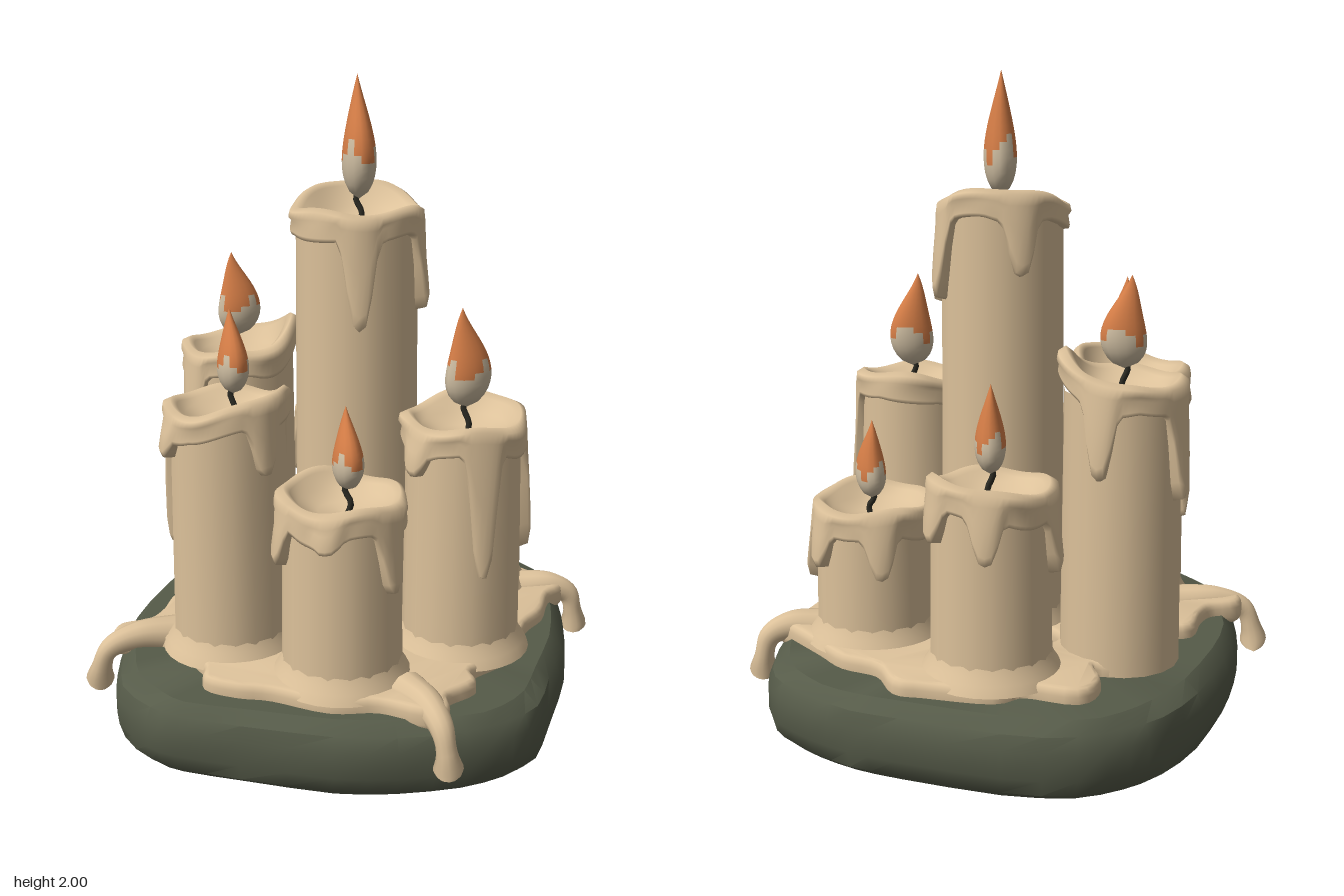
import * as THREE from 'three';
import { toCreasedNormals } from 'three/addons/utils/BufferGeometryUtils.js';

const mat = (name, color, side = THREE.FrontSide) =>
  Object.assign(new THREE.MeshStandardMaterial({ color, side }), { name });

// Closed loops stacked from bottom to top; pick() chooses a material per face
function loops(rows, cols, point, pick = () => 0) {
  const pos = [], faces = [[], []];
  for (let i = 0; i <= rows; i++)
    for (let j = 0; j < cols; j++) pos.push(...point(i, (j / cols) * Math.PI * 2, j));
  for (let i = 0; i < rows; i++)
    for (let j = 0; j < cols; j++) {
      const k = (j + 1) % cols, a = i * cols + j, b = i * cols + k;
      faces[pick(i, j)].push(a, b, b + cols, a, b + cols, a + cols);
    }
  const g = new THREE.BufferGeometry();
  g.setAttribute('position', new THREE.Float32BufferAttribute(pos, 3));
  g.setIndex([...faces[0], ...faces[1]]);
  if (faces[1].length) {
    g.addGroup(0, faces[0].length, 0);
    g.addGroup(faces[0].length, faces[1].length, 1);
  }
  g.computeVertexNormals();
  return g;
}

// Tube whose radius follows radius(t)
function taperedTube(points, segments, sides, radius) {
  const curve = new THREE.CatmullRomCurve3(points.map(p => new THREE.Vector3(...p)));
  const g = new THREE.TubeGeometry(curve, segments, 1, sides);
  const p = g.attributes.position, v = new THREE.Vector3();
  for (let i = 0; i < p.count; i++) {
    const t = Math.floor(i / (sides + 1)) / segments, c = curve.getPointAt(t);
    v.fromBufferAttribute(p, i).sub(c).multiplyScalar(radius(t)).add(c);
    p.setXYZ(i, v.x, v.y, v.z);
  }
  return g;
}

const smoothOutline = (pts, n, tension) =>
  new THREE.CatmullRomCurve3(pts.map(([x, z]) => new THREE.Vector3(x, 0, z)), true, 'catmullrom', tension)
    .getPoints(n).slice(0, n);

// Position, wall radius, rim height, raised side [deg, rise], flame [x, z, bottom, top, turn], drips [deg, length]
const CANDLES = [
  { name: 'centreCandle', x: 0, z: -0.04, R: 0.192, h: 1.61, peak: [-143, 0.05], flame: [0, -0.05, 1.62, 2, -0.75],
    drips: [[35, 0.36], [112, 0.33], [152, 0.31], [-125, 0.26]] },
  { name: 'leftSideCandle', x: -0.455, z: -0.03, R: 0.178, h: 1.11, peak: [130, 0.08], flame: [-0.455, -0.02, 1.13, 1.41, 0.75],
    drips: [[-18, 0.34], [-82, 0.36], [-165, 0.3]] },
  { name: 'rightSideCandle', x: 0.415, z: 0, R: 0.178, h: 1.01, peak: [-170, 0.03], flame: [0.42, 0, 1.03, 1.34, 0.9],
    drips: [[48, 0.48], [128, 0.46], [-20, 0.16]] },
  { name: 'frontTallCandle', x: -0.19, z: 0.39, R: 0.178, h: 1.05, peak: [90, 0.06], flame: [-0.16, 0.4, 1.08, 1.34, -0.6],
    drips: [[72, 0.24], [-80, 0.5], [-35, 0.16], [165, 0.3]] },
  { name: 'frontShortCandle', x: 0.225, z: 0.39, R: 0.178, h: 0.84, peak: [-100, 0.02], flame: [0.245, 0.39, 0.85, 1.1, -0.7],
    drips: [[-38, 0.22], [82, 0.27], [20, 0.12], [180, 0.2]] },
  { name: 'backTallCandle', x: -0.26, z: -0.41, R: 0.178, h: 0.83, peak: [170, 0.04], flame: [-0.25, -0.4, 0.85, 1.12, -0.8],
    drips: [[-145, 0.22], [-65, 0.26], [160, 0.2]] },
  { name: 'backShortCandle', x: 0.215, z: -0.41, R: 0.178, h: 0.7, peak: [60, 0.02], flame: [0.215, -0.42, 0.7, 0.95, -0.5],
    drips: [[122, 0.27], [165, 0.2], [70, 0.14], [-130, 0.22]] },
];

const BASE = [[0.1, -0.82], [0.25, -0.8], [0.36, -0.74], [0.47, -0.62], [0.56, -0.47], [0.67, -0.25], [0.74, -0.02],
  [0.785, 0.16], [0.76, 0.29], [0.68, 0.42], [0.53, 0.56], [0.37, 0.66], [0.1, 0.75], [-0.1, 0.81], [-0.2, 0.81],
  [-0.36, 0.75], [-0.47, 0.63], [-0.6, 0.44], [-0.7, 0.22], [-0.78, -0.06], [-0.79, -0.27], [-0.76, -0.4],
  [-0.68, -0.54], [-0.5, -0.66], [-0.2, -0.77], [-0.05, -0.81]].reverse();

const POOL = [[-0.2, -0.64], [-0.12, -0.67], [0, -0.61], [0.13, -0.63], [0.25, -0.6], [0.42, -0.56], [0.5, -0.54],
  [0.49, -0.45], [0.53, -0.32], [0.53, -0.2], [0.58, 0], [0.54, 0.18], [0.59, 0.25], [0.56, 0.36], [0.6, 0.43],
  [0.55, 0.47], [0.42, 0.49], [0.3, 0.57], [0.12, 0.6], [0.02, 0.64], [-0.08, 0.65], [-0.14, 0.58], [-0.34, 0.5],
  [-0.42, 0.51], [-0.5, 0.57], [-0.53, 0.52], [-0.48, 0.44], [-0.49, 0.35], [-0.53, 0.24], [-0.48, 0.16],
  [-0.58, 0], [-0.55, -0.15], [-0.48, -0.22], [-0.56, -0.3], [-0.57, -0.4], [-0.42, -0.46], [-0.38, -0.55]];

// Wax rim: hanging skirt with drips, rounded lip and sunken bowl
function rimGeometry({ R, h, drips, peak }) {
  const rad = THREE.MathUtils.degToRad;
  return loops(10, 72, (i, a) => {
    let d = 0.085 + 0.02 * Math.sin(3 * a + h * 9), bump = 0;
    for (const [deg, len] of drips) {
      const off = Math.atan2(Math.sin(a - rad(deg)), Math.cos(a - rad(deg)));
      const b = Math.exp(-Math.pow(Math.abs(off) / 0.22, 3));
      d = Math.max(d, 0.085 + (len - 0.085) * b);
      bump = Math.max(bump, b);
    }
    const top = h + peak[1] * Math.pow(Math.max(0, Math.cos(a - rad(peak[0]))), 2) + 0.008 * Math.sin(4 * a + h * 5);
    const th = 0.016 + 0.022 * bump, lip = R + 0.018 + 0.005 * Math.sin(5 * a + h * 7);
    const [r, y] = [
      [R - 0.006, top - d], [R + th * 0.8, top - d * 0.97], [R + th, top - d * 0.85], [R + th * 0.7, top - d * 0.5],
      [lip, top - Math.min(0.045, d * 0.35)], [lip - 0.004, top - 0.012], [R - 0.006, top], [R - 0.026, top - 0.014],
      [R * 0.72, h - 0.035], [R * 0.4, h - 0.06], [0, h - 0.065],
    ][i];
    return [r * Math.sin(a), y, r * Math.cos(a)];
  });
}

// Flattened teardrop with a bent tip and a jagged colour border
function flameGeometry(height) {
  const rows = 16, cols = 14, width = 0.05 + height * 0.085;
  return loops(rows, cols, (i, a) => {
    const t = i / rows, r = width * Math.sin(Math.PI * Math.pow(t, 0.62)) * (1 - 0.15 * t);
    const bend = 0.018 * Math.sin(t * 5) * t;
    return [r * Math.sin(a) + bend, t * height, r * 0.66 * Math.cos(a)];
  }, (i, j) => (i / rows > 0.33 + 0.1 * Math.sin(j * 1.35) + 0.04 * (j % 2) ? 1 : 0));
}

export function createModel() {
  const wax = mat('wax', 0xdcc19a), stone = mat('darkStone', 0x565b49), wickMat = mat('wick', 0x2e2d25);
  const paleFlame = mat('paleFlame', 0xcfbea2), orangeFlame = mat('orangeFlame', 0xd67e47);
  const model = new THREE.Group();
  model.name = 'candleCluster';
  const add = (parent, name, geometry, material) => {
    const m = new THREE.Mesh(geometry, material);
    m.name = name;
    parent.add(m);
    return m;
  };

  // Stone slab with worn edges
  const edge = smoothOutline(BASE, 52, 0.4);
  const slab = [[0, 0], [0.95, 0], [0.985, 0.02], [1, 0.07], [1, 0.15], [0.985, 0.195], [0.94, 0.228], [0, 0.23]];
  add(model, 'stoneBase', toCreasedNormals(loops(7, 52, (i, a, j) => {
    const wear = i === 6 ? 0.025 * Math.sin(3 * a + 0.6) : i === 5 || i === 2 ? 0.01 * Math.sin(5 * a) : 0;
    const s = slab[i][0] - Math.abs(wear);
    return [edge[j].x * s, slab[i][1], edge[j].z * s];
  }), 0.6), stone);

  // Melted wax pool with two gaps between the candles
  const shape = new THREE.Shape(smoothOutline(POOL, 148, 0.5).map(p => new THREE.Vector2(p.x, p.z)));
  for (const [x, z] of [[-0.22, -0.15], [0.21, 0.16]])
    shape.holes.push(new THREE.Path().absarc(x, z, 0.09, 0, Math.PI * 2));
  const pool = new THREE.ExtrudeGeometry(shape, {
    depth: 0.03, bevelThickness: 0.025, bevelSize: 0.018, bevelSegments: 3, curveSegments: 10,
  });
  pool.rotateX(Math.PI / 2);
  add(model, 'waxPool', toCreasedNormals(pool, 0.9), wax).position.y = 0.25;

  // Wax runs spilling over the slab edge
  const runs = [
    [[-0.36, 0.25, 0.43], [-0.46, 0.255, 0.53], [-0.525, 0.22, 0.6], [-0.55, 0.15, 0.615], [-0.565, 0.07, 0.61]],
    [[0.45, 0.25, 0.38], [0.55, 0.255, 0.43], [0.615, 0.22, 0.465], [0.64, 0.15, 0.475], [0.65, 0.06, 0.475]],
    [[0.38, 0.25, -0.47], [0.47, 0.255, -0.54], [0.52, 0.22, -0.585], [0.535, 0.15, -0.6], [0.54, 0.07, -0.6]],
  ];
  for (const path of runs)
    add(model, 'waxRun', taperedTube(path, 28, 12, t =>
      (0.062 - 0.032 * Math.min(1, t * 1.5) + 0.016 * Math.exp(-Math.pow((t - 0.9) / 0.1, 2))) *
      Math.sqrt(Math.max(0, 1 - Math.pow(Math.max(0, (t - 0.86) / 0.14), 2)))), wax);

  for (const c of CANDLES) {
    const candle = new THREE.Group();
    candle.name = c.name;
    candle.position.set(c.x, 0, c.z);
    model.add(candle);

    // Wall and molten foot
    const tall = c.h - 0.24;
    add(candle, 'candleBody', new THREE.CylinderGeometry(c.R - 0.002, c.R + 0.006, tall, 18, 1, true), wax)
      .position.y = 0.2 + tall / 2;
    if (c.name !== 'leftSideCandle')
      add(candle, 'meltedFoot', new THREE.LatheGeometry(
        [[0.04, 0.25], [0.026, 0.28], [0.012, 0.3], [0, 0.33]].map(([r, y]) => new THREE.Vector2(c.R + r, y)), 28), wax);
    add(candle, 'meltedRim', rimGeometry(c), wax);

    // Wick and flame
    const [fx, fz, low, high, turn] = c.flame, x = fx - c.x, z = fz - c.z;
    add(candle, 'wick', taperedTube([[x * 0.6, c.h - 0.08, z * 0.6], [x + 0.012, c.h - 0.03, z],
      [x - 0.006, low, z + 0.006], [x, low + 0.03, z]], 8, 6, () => 0.009), wickMat);
    const flame = add(candle, 'flame', flameGeometry(high - low), [paleFlame, orangeFlame]);
    flame.position.set(x, low, z);
    flame.rotation.y = turn;
  }
  return model;
}
